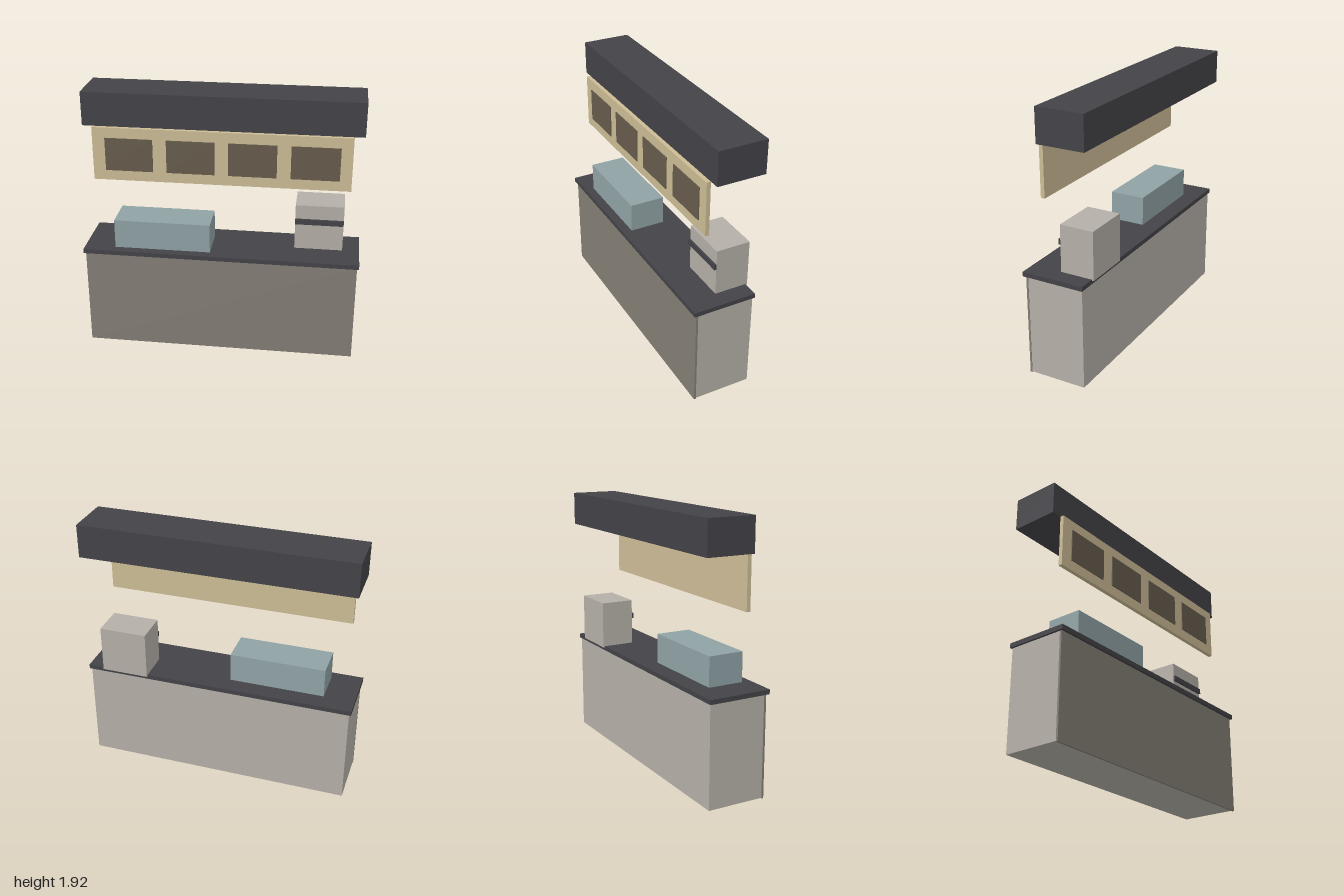
import * as THREE from 'three';

const mat = (name, color) => {
  const m = new THREE.MeshStandardMaterial({ color });
  m.name = name;
  return m;
};

export function createModel() {
  const model = new THREE.Group();
  model.name = 'serviceCounter';

  const charcoal = mat('charcoal', 0x434247);
  const stone = mat('stone', 0xb4afa7);
  const taupe = mat('taupe', 0x837e75);
  const glass = mat('paleTeal', 0x90a2a5);
  const cream = mat('cream', 0xccbc95);
  const brown = mat('brown', 0x665c4c);

  // Box given by its limits on each axis
  const block = (name, material, [x0, x1], [y0, y1], [z0, z1], parent = model) => {
    const mesh = new THREE.Mesh(new THREE.BoxGeometry(x1 - x0, y1 - y0, z1 - z0), material);
    mesh.position.set((x0 + x1) / 2, (y0 + y1) / 2, (z0 + z1) / 2);
    mesh.name = name;
    parent.add(mesh);
    return mesh;
  };

  // Counter: cabinet, front panel and overhanging worktop
  const counter = new THREE.Group();
  counter.name = 'counter';
  model.add(counter);
  block('cabinet', stone, [-0.985, 0.985], [0.005, 0.74], [-0.207, 0.212], counter);
  block('frontPanel', taupe, [-0.987, 0.987], [0, 0.74], [0.212, 0.227], counter);
  block('worktop', charcoal, [-1, 1], [0.74, 0.773], [-0.216, 0.245], counter);

  // Display case on the worktop
  block('displayCase', glass, [-0.775, -0.075], [0.77, 0.988], [-0.085, 0.178]);

  // Machine with a dark band across its front
  const machine = new THREE.Group();
  machine.name = 'machine';
  model.add(machine);
  block('machineBody', stone, [0.528, 0.877], [0.765, 1.115], [-0.23, 0.02], machine);
  block('machineBand', charcoal, [0.528, 0.877], [0.97, 1.01], [0.02, 0.035], machine);

  // Menu board with four evenly spaced panels
  const board = new THREE.Group();
  board.name = 'menuBoard';
  model.add(board);
  block('boardBacking', cream, [-0.912, 0.912], [1.29, 1.68], [0.107, 0.136], board);
  for (let i = 0; i < 4; i++) {
    const x = 0.004 + (i - 1.5) * 0.437;
    block('menuPanel' + (i + 1), brown, [x - 0.17, x + 0.17], [1.365, 1.605], [0.136, 0.143], board);
  }

  // Overhead bulkhead
  block('bulkhead', charcoal, [-0.987, 0.987], [1.68, 1.923], [-0.245, 0.107]);

  return model;
}
